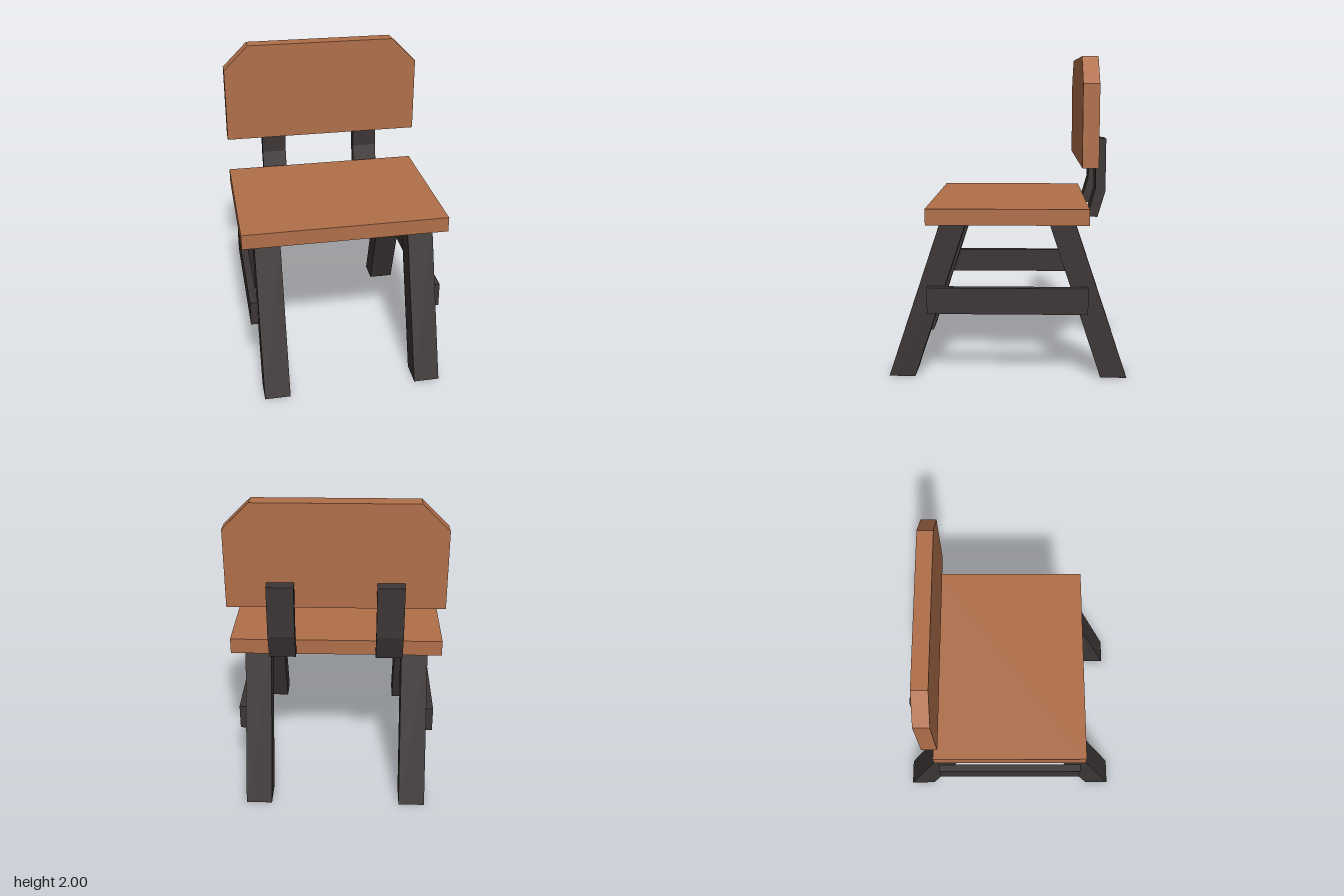
import * as THREE from 'three';

const wood = new THREE.MeshStandardMaterial({ color: 0xb06f4a });
wood.name = 'warm wood';
const iron = new THREE.MeshStandardMaterial({ color: 0x3c3535 });
iron.name = 'dark frame';

function add(group, name, geometry, material, x, y, z) {
  const mesh = new THREE.Mesh(geometry, material);
  mesh.name = name;
  mesh.position.set(x, y, z);
  group.add(mesh);
  return mesh;
}

function extrude(points, depth) {
  const shape = new THREE.Shape(points.map(([a, b]) => new THREE.Vector2(a, b)));
  return new THREE.ExtrudeGeometry(shape, { depth, bevelEnabled: false }).translate(0, 0, -depth / 2);
}

// Side profile given as [z, y], extruded along x about its centre
function sideProfile(points, width) {
  return extrude(points.map(([z, y]) => [-z, y]), width).rotateY(Math.PI / 2);
}

export function createModel() {
  const chair = new THREE.Group();
  chair.name = 'chair';

  // Seat board
  add(chair, 'seat', new THREE.BoxGeometry(1.333, 0.1, 1), wood, 0, 1.035, 0);

  // Backrest with clipped upper corners
  const back = [[-0.667, 1.335], [0.667, 1.335], [0.667, 1.835], [0.5, 2], [-0.5, 2], [-0.667, 1.835]];
  add(chair, 'backrest', extrude(back, 0.1), wood, 0, 0, -0.5);

  for (const side of [1, -1]) {
    const label = side > 0 ? 'left' : 'right';

    // Splayed legs, cut level at the floor and under the seat
    for (const end of [1, -1]) {
      const leg = [[0.585, 0], [0.75, 0], [0.42, 0.985], [0.258, 0.985]].map(([z, y]) => [z * end, y]);
      add(chair, `${label}${end > 0 ? 'Front' : 'Back'}Leg`, sideProfile(leg, 0.167), iron, side * 0.5, 0, 0);
    }

    // Side rail fixed to the outside of the legs
    add(chair, `${label}Rail`, new THREE.BoxGeometry(0.05, 0.165, 1), iron, side * 0.608, 0.503, 0);

    // Bent bracket joining seat and backrest
    const bracket = [[-0.5, 1.006], [-0.565, 1], [-0.613, 1.165], [-0.613, 1.495], [-0.548, 1.502], [-0.55, 1.18]];
    add(chair, `${label}BackBracket`, sideProfile(bracket, 0.167), iron, side * 0.333, 0, 0);
  }
  return chair;
}
